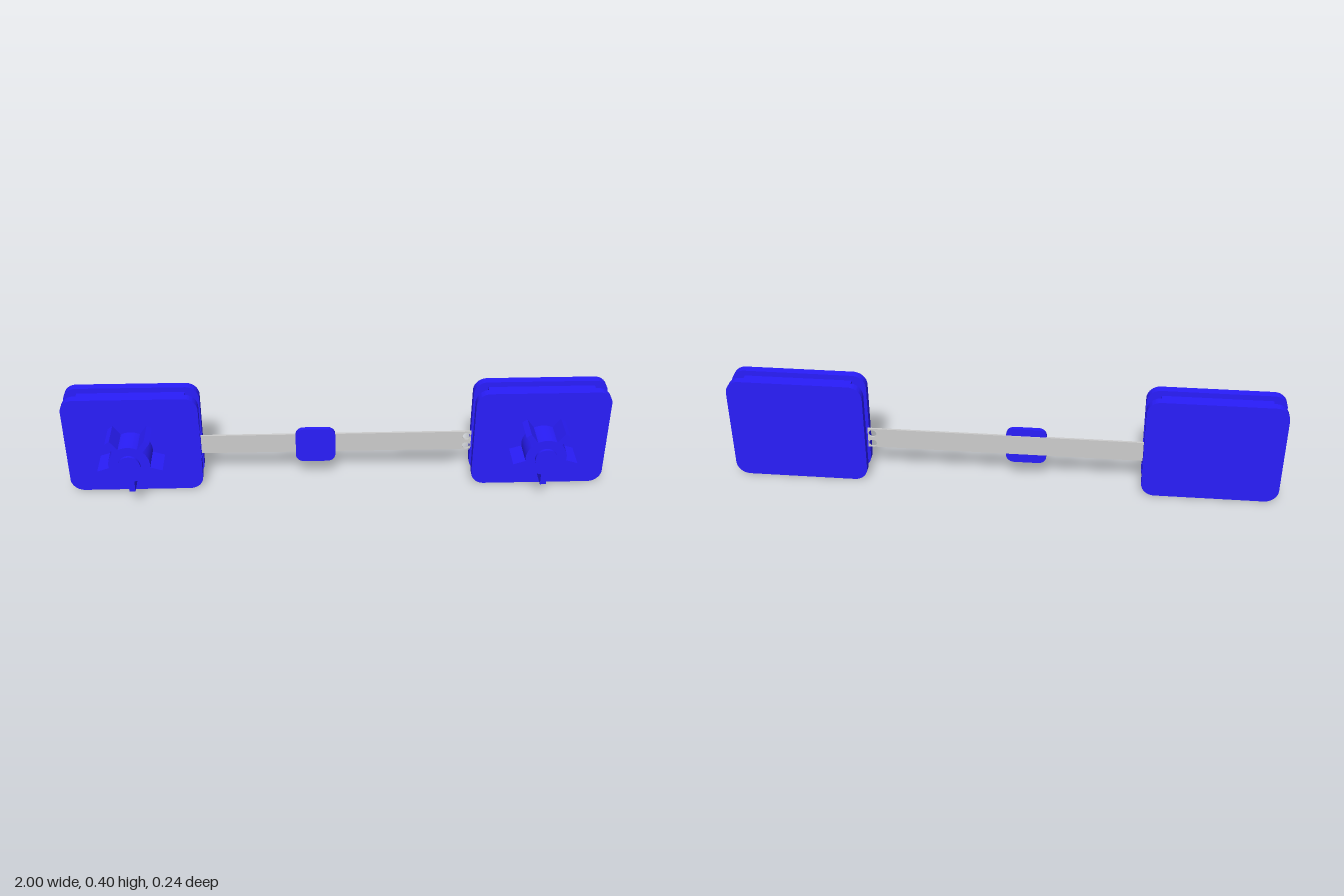
import * as THREE from 'three';
import { toCreasedNormals } from 'three/addons/utils/BufferGeometryUtils.js';

const blue = new THREE.MeshStandardMaterial({ color: 0x291dfa });
const grey = new THREE.MeshStandardMaterial({ color: 0xcccccc });

function addMesh(parent, name, geometry, material = blue) {
  const mesh = new THREE.Mesh(geometry, material);
  mesh.name = name;
  parent.add(mesh);
  return mesh;
}

// Rounded rectangle, optionally with a notch cut into its +x edge
function roundedRect(x0, x1, y0, y1, r, notch) {
  const s = new THREE.Shape();
  s.moveTo(x0 + r, y0);
  s.lineTo(x1 - r, y0);
  s.absarc(x1 - r, y0 + r, r, -Math.PI / 2, 0);
  if (notch) {
    s.lineTo(x1, notch.y0);
    s.lineTo(x1 - notch.depth, notch.y0);
    s.lineTo(x1 - notch.depth, notch.y1);
    s.lineTo(x1, notch.y1);
  }
  s.absarc(x1 - r, y1 - r, r, 0, Math.PI / 2);
  s.absarc(x0 + r, y1 - r, r, Math.PI / 2, Math.PI);
  s.absarc(x0 + r, y0 + r, r, Math.PI, Math.PI * 1.5);
  return s;
}

// Extrude a front outline between two depths
function slab(shape, z0, z1) {
  const g = new THREE.ExtrudeGeometry(shape, { depth: z1 - z0, bevelEnabled: false, curveSegments: 10 });
  g.translate(0, 0, z0);
  return toCreasedNormals(g, 0.6);
}

// Extrude a side outline of [depth behind z = 0, height] points along x
function sideBlock(points, x0, x1) {
  const shape = new THREE.Shape(points.map(([u, y]) => new THREE.Vector2(u, y)));
  const g = new THREE.ExtrudeGeometry(shape, { depth: x1 - x0, bevelEnabled: false });
  g.rotateY(Math.PI / 2);
  g.translate(x0, 0, 0);
  return g;
}

// Cylinder whose axis runs along z
function disc(r, z0, z1, x, y) {
  const g = new THREE.CylinderGeometry(r, r, z1 - z0, 40);
  g.rotateX(Math.PI / 2);
  g.translate(x, y, (z0 + z1) / 2);
  return g;
}

function createKnob() {
  const knob = new THREE.Group();
  knob.name = 'knob';
  addMesh(knob, 'knobShaft', disc(0.04, -0.015, 0.12, 0, 0));
  addMesh(knob, 'knobHub', disc(0.075, 0.012, 0.11, 0, 0));
  for (let i = 0; i < 5; i++) {
    const arm = new THREE.BoxGeometry(0.06, 0.022, 0.098);
    arm.translate(0.09, 0, 0.061);
    arm.rotateZ(-Math.PI / 2 + (i * Math.PI * 2) / 5);
    addMesh(knob, 'knobGrip', arm);
  }
  return knob;
}

function createCase() {
  const body = new THREE.Group();
  body.name = 'case';
  const w = 0.2475;
  const plate = roundedRect(-w, w, 0, 0.4, 0.05);
  const notched = roundedRect(-w, w, 0, 0.4, 0.05, { y0: 0.13, y1: 0.27, depth: 0.06 });
  addMesh(body, 'backPlate', slab(plate, -0.12, -0.09));

  // Front plate in three layers, with a slot in its edge
  addMesh(body, 'frontPlateFace', slab(plate, -0.018, -0.01));
  addMesh(body, 'frontPlateMiddle', slab(notched, -0.037, -0.018));
  addMesh(body, 'frontPlateRear', slab(plate, -0.04, -0.037));
  for (const y of [0.242, 0.172]) addMesh(body, 'slotRoller', disc(0.027, -0.037, -0.018, w - 0.03, y));

  // Core between the plates, split by diagonal slits and a central channel
  const a = -0.197, b = 0.197;
  addMesh(body, 'coreTop', sideBlock([[0.04, 0.38], [0.04, 0.361], [0.09, 0.305], [0.09, 0.38]], a, b));
  addMesh(body, 'coreBottom', sideBlock([[0.04, 0.02], [0.09, 0.02], [0.09, 0.095], [0.04, 0.039]], a, b));
  addMesh(body, 'coreMiddle', sideBlock([
    [0.04, 0.352], [0.04, 0.048], [0.09, 0.104], [0.09, 0.17],
    [0.05, 0.17], [0.05, 0.23], [0.09, 0.23], [0.09, 0.296],
  ], a, b));
  addMesh(body, 'coreRail', sideBlock([[0.05, 0.174], [0.09, 0.174], [0.09, 0.226], [0.05, 0.226]], a, b));

  const knob = createKnob();
  knob.position.y = 0.2;
  body.add(knob);
  return body;
}

export function createModel() {
  const model = new THREE.Group();
  model.name = 'strapWithTwoCases';

  for (const side of [-1, 1]) {
    const box = createCase();
    box.name = side < 0 ? 'rightCase' : 'leftCase';
    box.position.x = side * 0.7525;
    model.add(box);
  }

  // Flat strap with two holes in its free end
  const strap = new THREE.Shape();
  strap.moveTo(-0.56, 0.12);
  strap.lineTo(0.503, 0.12);
  strap.lineTo(0.503, 0.198);
  strap.lineTo(-0.56, 0.198);
  for (const y of [0.135, 0.177]) {
    const hole = new THREE.Path();
    hole.absarc(0.486, y, 0.015, 0, Math.PI * 2, true);
    strap.holes.push(hole);
  }
  addMesh(model, 'strap', slab(strap, -0.075, -0.067), grey);

  // Rounded tab on the front of the strap
  addMesh(model, 'strapTab', slab(roundedRect(-0.155, -0.007, 0.083, 0.227, 0.03), -0.072, -0.056));
  return model;
}
